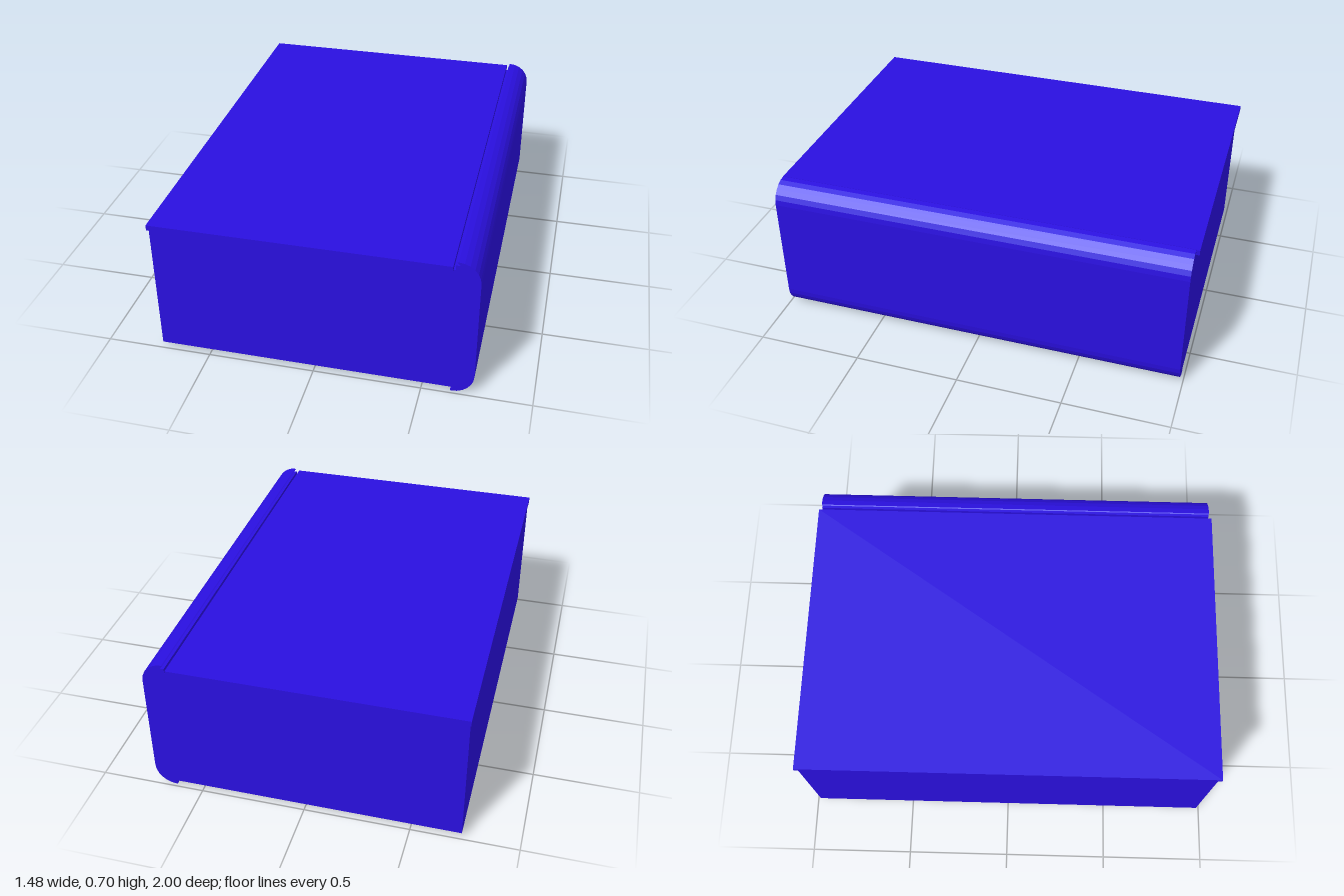
import * as THREE from 'three';

const material = new THREE.MeshStandardMaterial({ color: 0x2a0fdf, flatShading: true });

// Extrudes an x-y profile along z, centred on z = 0
function extrudeProfile(name, points, length) {
  const shape = new THREE.Shape(points.map(([x, y]) => new THREE.Vector2(x, y)));
  const geometry = new THREE.ExtrudeGeometry(shape, { depth: length, bevelEnabled: false });
  geometry.translate(0, 0, -length / 2);
  const mesh = new THREE.Mesh(geometry, material);
  mesh.name = name;
  return mesh;
}

// Points of a faceted quarter round
function quarterRound(cx, cy, r, startAngle, steps = 6) {
  return Array.from({ length: steps + 1 }, (_, i) => {
    const a = startAngle + (i / steps) * Math.PI / 2;
    return [cx + r * Math.cos(a), cy + r * Math.sin(a)];
  });
}

export function createModel() {
  const group = new THREE.Group();
  group.name = 'box';
  const length = 1.97;
  const r = 0.1;

  // Body with a rounded spine whose lips stand proud of the top and bottom
  const body = extrudeProfile('body', [
    [-0.735, 0.022],
    [0.643, 0.022],
    [0.63, 0.004],
    ...quarterRound(0.635, r, r, -Math.PI / 2),
    ...quarterRound(0.635, 0.705 - r, r, 0),
    [0.63, 0.703],
    [0.643, 0.688],
    [0.625, 0.688],
    [0.625, 0.665],
    [-0.735, 0.665],
  ], length);
  group.add(body);

  // Thin cover overhanging the three other sides
  const cover = new THREE.Mesh(new THREE.BoxGeometry(1.355, 0.025, 2), material);
  cover.name = 'cover';
  cover.position.set(-0.0625, 0.6765, 0);
  group.add(cover);

  return group;
}
